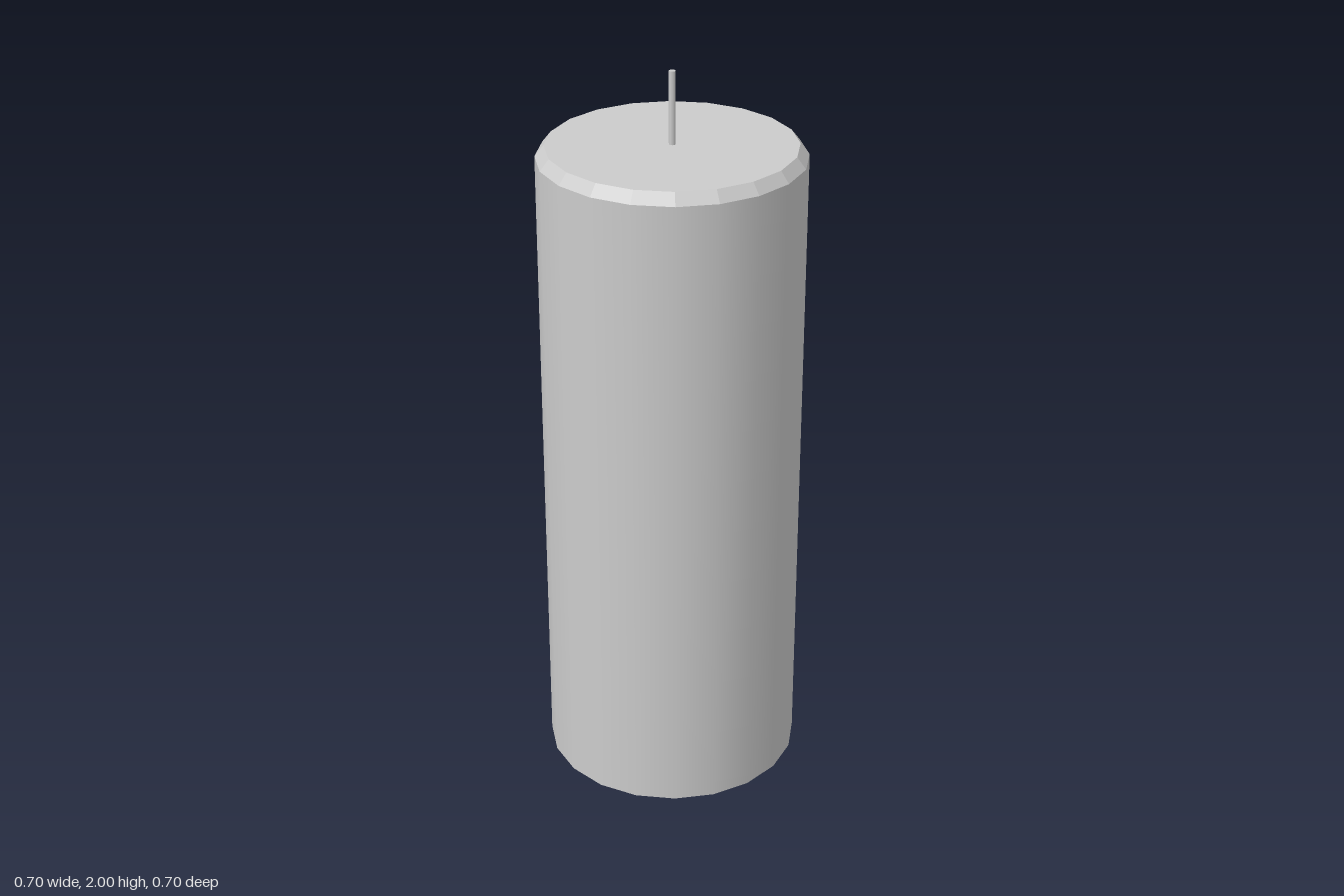
import * as THREE from 'three';

const SIDES = 20;
const RADIUS = 0.352, TOP_RADIUS = 0.328;
const SHOULDER_Y = 1.775, TOP_Y = 1.805, WICK_Y = 2;

export function createModel() {
  const group = new THREE.Group();
  group.name = 'candle';
  const smooth = new THREE.MeshStandardMaterial({ color: 0xcccccc });
  const faceted = new THREE.MeshStandardMaterial({ color: 0xcccccc, flatShading: true });

  const add = (name, geometry, material, y) => {
    const mesh = new THREE.Mesh(geometry, material);
    mesh.name = name;
    mesh.position.y = y;
    group.add(mesh);
    return mesh;
  };

  // Wax body: smooth wall, open at the top where the bevel takes over
  add('waxWall', new THREE.CylinderGeometry(RADIUS, RADIUS, SHOULDER_Y, SIDES, 1, true), smooth, SHOULDER_Y / 2);

  // Faceted bevel around the top edge
  const bevelHeight = TOP_Y - SHOULDER_Y;
  add('topBevel', new THREE.CylinderGeometry(TOP_RADIUS, RADIUS, bevelHeight, SIDES, 1, true), faceted, SHOULDER_Y + bevelHeight / 2);

  // Flat end discs, turned so their corners meet the wall
  add('waxTop', new THREE.CircleGeometry(TOP_RADIUS, SIDES).rotateX(-Math.PI / 2), smooth, TOP_Y);
  add('waxBase', new THREE.CircleGeometry(RADIUS, SIDES).rotateX(Math.PI / 2), smooth, 0);

  // Thin eight-sided wick standing on the top
  const wickHeight = WICK_Y - TOP_Y;
  const wick = new THREE.CylinderGeometry(0.009, 0.009, wickHeight, 8).rotateY(Math.PI / 8);
  add('wick', wick, smooth, TOP_Y + wickHeight / 2);

  return group;
}
